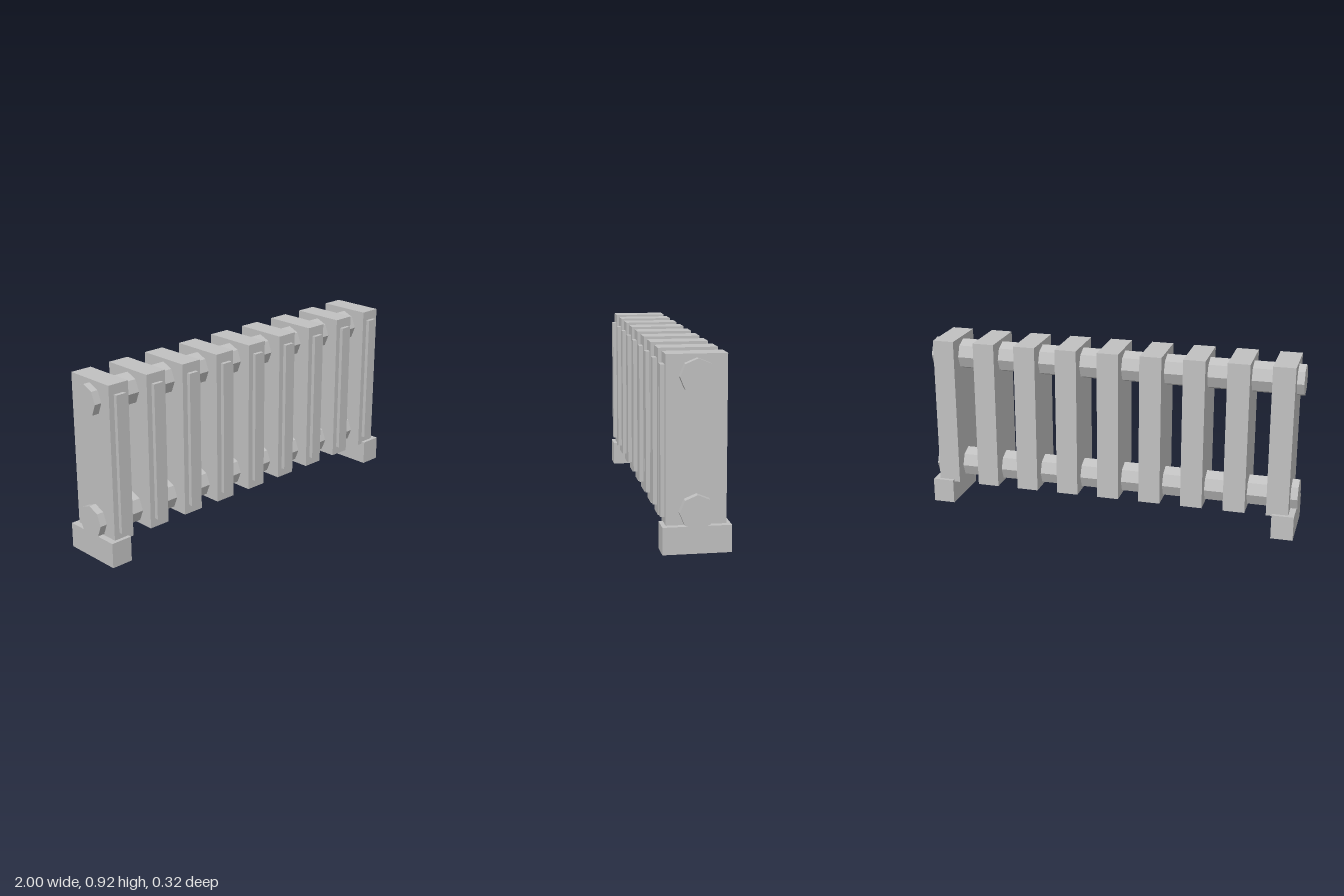
import * as THREE from 'three';

export function createModel() {
  const model = new THREE.Group();
  model.name = 'radiator';
  const paint = new THREE.MeshStandardMaterial({ color: 0xc0c0c0 });
  paint.name = 'grey paint';
  // Octagonal pipes keep their hard facets
  const pipeGeometry = new THREE.CylinderGeometry(0.083, 0.083, 2, 8).toNonIndexed();
  pipeGeometry.computeVertexNormals();
  pipeGeometry.rotateZ(Math.PI / 2);

  const add = (name, geometry, x, y, z) => {
    const mesh = new THREE.Mesh(geometry, paint);
    mesh.name = name;
    mesh.position.set(x, y, z);
    model.add(mesh);
  };

  // Upright columns, each with a raised strip on the front
  const columnGeometry = new THREE.BoxGeometry(0.115, 0.802, 0.284);
  const stripGeometry = new THREE.BoxGeometry(0.057, 0.707, 0.03);
  for (let i = 0; i < 9; i++) {
    const x = (i - 4) * 0.2263;
    add('column', columnGeometry, x, 0.519, 0);
    add('frontStrip', stripGeometry, x, 0.517, 0.147);
  }

  // Upper and lower connecting pipes
  add('upperPipe', pipeGeometry, 0, 0.82, 0);
  add('lowerPipe', pipeGeometry, 0, 0.195, 0);

  // Feet
  const footGeometry = new THREE.BoxGeometry(0.115, 0.13, 0.324);
  for (const side of [-1, 1]) add('foot', footGeometry, side * 0.937, 0.065, 0);

  return model;
}
